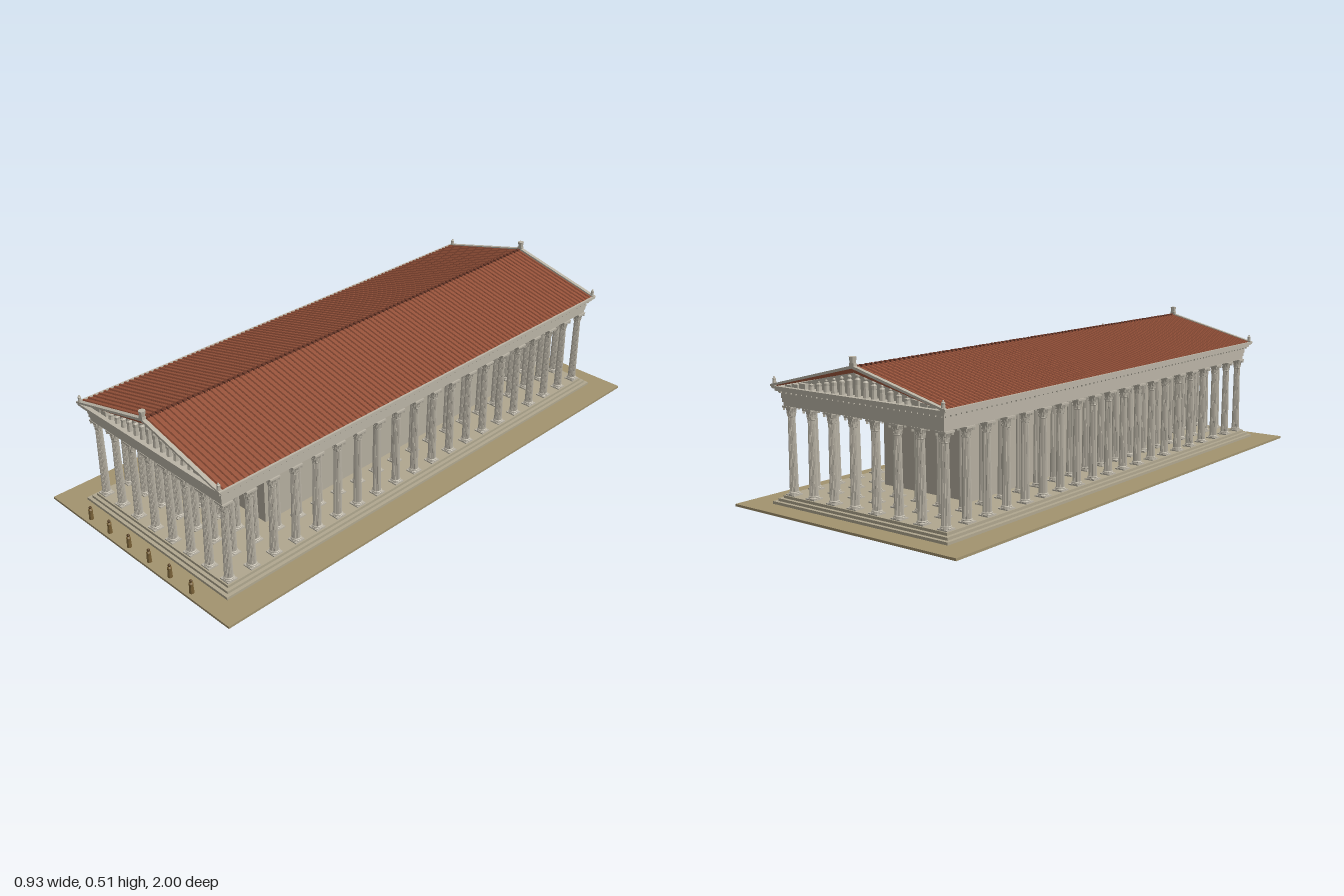
import * as THREE from 'three';
import { mergeGeometries } from 'three/addons/utils/BufferGeometryUtils.js';

const mat = (color, side = THREE.FrontSide) =>
  new THREE.MeshStandardMaterial({ color, flatShading: true, side });
const stone = mat(0xbab4a6), step = mat(0xb0a78f), wallStone = mat(0xb5ae9f);
const tile = mat(0x96523a), ridgeTile = mat(0x6e3a2a), earth = mat(0xa2936f);
const dark = mat(0x2a2520), cloth = mat(0x7a6238), skin = mat(0x5a4326);

const PITCH = 0.092, COLS = 8, ROWS = 20;
const colX = i => (i - (COLS - 1) / 2) * PITCH;
const colZ = j => (j - (ROWS - 1) / 2) * 0.0925;

function add(parent, name, geo, material, x = 0, y = 0, z = 0) {
  const m = new THREE.Mesh(geo, material);
  m.name = name;
  m.position.set(x, y, z);
  parent.add(m);
  return m;
}

// Box spanning y0..y1, centred on x and z
function slab(parent, name, hx, y0, y1, hz, material) {
  return add(parent, name, new THREE.BoxGeometry(hx * 2, y1 - y0, hz * 2), material, 0, (y0 + y1) / 2, 0);
}

// Polygon in x/y extruded along z, centred on z = 0
function prism(points, length) {
  const shape = new THREE.Shape(points.map(p => new THREE.Vector2(...p)));
  return new THREE.ExtrudeGeometry(shape, { depth: length, bevelEnabled: false }).translate(0, 0, -length / 2);
}

// Chevron band following both roof slopes
function chevron(hx, eaveLow, eaveHigh, apexLow, apexHigh, length) {
  return prism([[-hx, eaveLow], [0, apexLow], [hx, eaveLow], [hx, eaveHigh], [0, apexHigh], [-hx, eaveHigh]], length);
}

const lathe = (pts, seg) => new THREE.LatheGeometry(pts.map(p => new THREE.Vector2(...p)), seg);

// One fluted column with moulded base and leafy capital, foot at y = 0, 0.29 tall
function columnGeometry() {
  const parts = [];
  const seg = 40, shaft = new THREE.CylinderGeometry(0.0118, 0.0145, 0.246, seg, 3, true);
  const pos = shaft.attributes.position;
  for (let i = 0; i < pos.count; i++) {
    const k = (i % (seg + 1)) % 2 ? 0.9 : 1;
    pos.setX(i, pos.getX(i) * k);
    pos.setZ(i, pos.getZ(i) * k);
  }
  parts.push(shaft.translate(0, 0.133, 0));
  parts.push(new THREE.BoxGeometry(0.038, 0.004, 0.038).translate(0, 0.002, 0));
  parts.push(lathe([[0.018, 0.003], [0.0188, 0.006], [0.0165, 0.008], [0.0172, 0.0105], [0.014, 0.013]], 16));
  parts.push(lathe([[0.0118, 0.254], [0.0132, 0.256], [0.012, 0.258], [0.0125, 0.27], [0.0185, 0.284]], 16));
  for (let tier = 0; tier < 2; tier++) {
    for (let i = 0; i < 8; i++) {
      const leaf = new THREE.ConeGeometry(0.0045, 0.014, 4, 1, true);
      leaf.scale(1, 1, 0.5).rotateX(0.3).translate(0, 0.264 + tier * 0.009, 0.0135 + tier * 0.0015);
      parts.push(leaf.rotateY((i + tier / 2) * Math.PI / 4));
    }
  }
  for (let i = 0; i < 4; i++) {
    const volute = new THREE.BoxGeometry(0.004, 0.008, 0.007).translate(0, 0.28, 0.0225);
    parts.push(volute.rotateY(Math.PI / 4 + i * Math.PI / 2));
  }
  parts.push(new THREE.BoxGeometry(0.04, 0.006, 0.04).translate(0, 0.287, 0));
  return mergeGeometries(parts);
}

// Standing draped figure
function figure(parent, name, h, r, body, head, x, y, z) {
  const g = new THREE.Group();
  g.name = name;
  g.position.set(x, y, z);
  add(g, 'robe', lathe([[0, 0], [r, 0], [r * 0.85, h * 0.5], [r * 0.95, h * 0.72], [r * 0.35, h * 0.82], [0, h * 0.82]], 8), body);
  add(g, 'head', new THREE.SphereGeometry(h * 0.11, 8, 6), head, 0, h * 0.89, 0);
  parent.add(g);
}

export function createModel() {
  const model = new THREE.Group();
  model.name = 'temple';

  // Ground and stepped platform
  slab(model, 'ground', 0.465, 0, 0.008, 1, earth);
  [[0.37, 0.927], [0.358, 0.915], [0.346, 0.903]].forEach(([hx, hz], i) =>
    slab(model, 'platformStep', hx, 0.008 + i * 0.009, 0.017 + i * 0.009, hz, step));

  // Double colonnade on the sides, triple at the ends
  const column = columnGeometry();
  for (let i = 0; i < COLS; i++) {
    for (let j = 0; j < ROWS; j++) {
      const side = i < 2 || i > COLS - 3, end = j < 3 || j > ROWS - 4;
      if (side || end) add(model, 'column', column, stone, colX(i), 0.035, colZ(j));
    }
  }

  // Inner chamber with its doorway
  slab(model, 'chamber', 0.184, 0.035, 0.326, 0.61, wallStone);
  add(model, 'door', new THREE.BoxGeometry(0.068, 0.17, 0.006), dark, 0, 0.12, 0.611);

  // Entablature
  slab(model, 'architraveLower', 0.336, 0.325, 0.337, 0.897, stone);
  slab(model, 'architraveUpper', 0.339, 0.337, 0.35, 0.9, stone);
  slab(model, 'frieze', 0.341, 0.35, 0.37, 0.902, stone);
  slab(model, 'corniceBed', 0.346, 0.368, 0.374, 0.907, stone);
  slab(model, 'cornice', 0.354, 0.374, 0.382, 0.916, stone);
  slab(model, 'corniceTop', 0.36, 0.382, 0.39, 0.922, stone);

  // Dentils under the cornice
  const dentils = [];
  const dentil = (x, z) => dentils.push(new THREE.BoxGeometry(0.009, 0.006, 0.009).translate(x, 0.371, z));
  for (const s of [-1, 1]) {
    for (let i = 0; i < 80; i++) dentil(s * 0.346, -0.9 + i * 1.8 / 79);
    for (let i = 0; i < 30; i++) dentil(-0.335 + i * 0.67 / 29, s * 0.907);
  }
  add(model, 'dentils', mergeGeometries(dentils), stone);

  // Roof body, pediment walls and raking cornices
  add(model, 'roof', chevron(0.36, 0.386, 0.391, 0.464, 0.479, 1.83), tile);
  add(model, 'pedimentWall', prism([[-0.33, 0.388], [0.33, 0.388], [0, 0.468]], 1.77), stone);
  for (const s of [-1, 1]) {
    add(model, 'rakingCornice', chevron(0.364, 0.388, 0.395, 0.477, 0.486, 0.014), stone, 0, 0, s * 0.917);
    add(model, 'eavesGutter', new THREE.BoxGeometry(0.008, 0.009, 1.84), stone, s * 0.361, 0.39, 0);
  }

  // Rows of cover tiles running down both slopes, and the ridge caps
  const tiles = [], caps = [];
  const slope = Math.atan2(0.088, 0.36), len = Math.hypot(0.088, 0.355);
  for (let i = 0; i < 90; i++) {
    const z = -0.9 + i * 1.8 / 89;
    for (const s of [-1, 1]) {
      const cover = new THREE.CylinderGeometry(0.005, 0.005, len, 6, 1, true);
      tiles.push(cover.rotateZ(s * (Math.PI / 2 - slope)).translate(s * 0.179, 0.4355, z));
    }
    caps.push(new THREE.BoxGeometry(0.012, 0.008, 0.012).translate(0, 0.481, z));
  }
  add(model, 'coverTiles', mergeGeometries(tiles), tile);
  add(model, 'ridgeCaps', mergeGeometries(caps), ridgeTile);

  // Pediment sculptures and roof ornaments at both ends
  for (const s of [-1, 1]) {
    for (let i = -6; i <= 6; i++) {
      const x = i * 0.0335;
      figure(model, 'pedimentStatue', 0.072 - 0.25 * Math.abs(x), 0.0095, stone, stone, x, 0.39, s * 0.9);
    }
    for (const side of [-1, 1]) {
      [[0.236, 0.016], [0.27, 0.011], [0.3, 0.006]].forEach(([x, h]) =>
        add(model, 'recliningStatue', new THREE.BoxGeometry(0.028, h, 0.014), stone, side * x, 0.39 + h / 2, s * 0.9));
      add(model, 'cornerPlinth', new THREE.BoxGeometry(0.016, 0.008, 0.014), stone, side * 0.352, 0.393, s * 0.917);
      figure(model, 'cornerOrnament', 0.026, 0.0065, stone, stone, side * 0.352, 0.395, s * 0.917);
    }
    add(model, 'apexPlinth', new THREE.BoxGeometry(0.018, 0.012, 0.014), stone, 0, 0.487, s * 0.917);
    add(model, 'apexOrnament', new THREE.CylinderGeometry(0.0115, 0.009, 0.02, 8), stone, 0, 0.502, s * 0.917);
  }

  // Visitors in front of the steps
  for (let i = 0; i < 6; i++)
    figure(model, 'visitor', 0.05, 0.0085, cloth, skin, -0.268 + i * 0.1068, 0.008, 0.98);

  return model;
}
